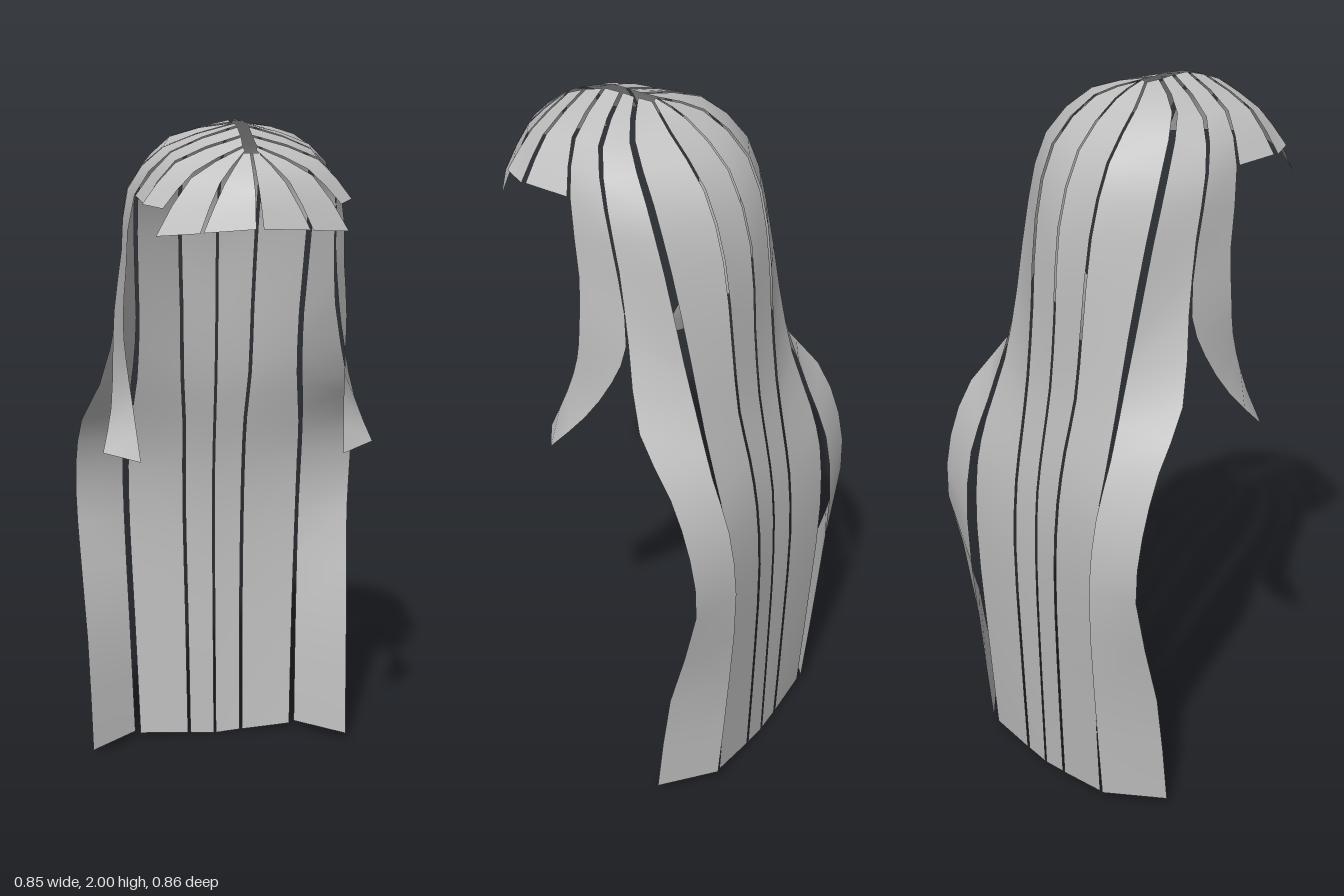
import * as THREE from 'three';

// A lock is a thin ruled strip between two edges running from the parting to the tip.
function stripGeometry(edgeA, edgeB, side) {
  const rows = 2 * (edgeA.length - 1);
  const curves = [edgeA, edgeB].map((edge) => new THREE.CatmullRomCurve3(
    edge.map(([x, y, z]) => new THREE.Vector3(x * side, y, z))));
  const positions = [];
  const index = [];
  for (let i = 0; i <= rows; i++) {
    for (const curve of curves) positions.push(...curve.getPoint(i / rows).toArray());
    if (i === rows) continue;
    const a = 2 * i, b = a + 1, c = a + 2, d = a + 3;
    if (side > 0) index.push(a, b, c, b, d, c);
    else index.push(a, c, b, b, c, d);
  }
  const geometry = new THREE.BufferGeometry();
  geometry.setAttribute('position', new THREE.Float32BufferAttribute(positions, 3));
  geometry.setIndex(index);
  geometry.computeVertexNormals();
  return geometry;
}

const shift = (edge, dx, dz = 0) => edge.map(([x, y, z]) => [x + dx, y, z + dz]);

export function createModel() {
  const hair = new THREE.Group();
  hair.name = 'longHair';
  const material = new THREE.MeshStandardMaterial({ color: 0xc0c0c0, side: THREE.DoubleSide });
  material.name = 'hairGrey';

  // Each lock is mirrored to both sides of the parting.
  function addLock(name, edgeA, edgeB) {
    for (const side of [1, -1]) {
      const mesh = new THREE.Mesh(stripGeometry(edgeA, edgeB, side), material);
      mesh.name = (side > 0 ? 'left' : 'right') + name;
      hair.add(mesh);
    }
  }

  // Long back locks: edges are [x, y, z], from the crown down
  const backCentre = [
    [0.003, 2.0, 0.0], [0.003, 1.965, -0.09], [0.003, 1.85, -0.22], [0.003, 1.65, -0.292],
    [0.003, 1.4, -0.312], [0.003, 1.2, -0.332], [0.003, 1.05, -0.36], [0.003, 0.9, -0.385],
    [0.003, 0.7, -0.395], [0.003, 0.4, -0.39], [0.003, 0.0, -0.378]];
  const backSeam = [
    [0.012, 1.995, 0.005], [0.082, 1.957, -0.093], [0.113, 1.84, -0.215], [0.113, 1.65, -0.277],
    [0.106, 1.4, -0.305], [0.103, 1.2, -0.328], [0.094, 1.05, -0.36], [0.092, 0.9, -0.387],
    [0.09, 0.7, -0.4], [0.086, 0.4, -0.393], [0.083, 0.007, -0.377]];
  const middleOuter = [
    [0.015, 1.995, 0.048], [0.163, 1.952, -0.037], [0.238, 1.83, -0.14], [0.246, 1.65, -0.2],
    [0.238, 1.4, -0.255], [0.242, 1.2, -0.302], [0.26, 1.03, -0.36], [0.263, 0.9, -0.395],
    [0.26, 0.7, -0.408], [0.25, 0.4, -0.395], [0.24, 0.02, -0.37]];
  addLock('BackCentreLock', backCentre, shift(backSeam, -0.004));
  addLock('BackMiddleLock', shift(backSeam, 0.004), middleOuter);

  // Outer back lock, flaring away from the shoulders
  addLock('BackOuterLock', [
    [0.015, 1.995, 0.06], [0.172, 1.95, -0.027], [0.248, 1.83, -0.125], [0.257, 1.65, -0.185],
    [0.248, 1.4, -0.24], [0.253, 1.25, -0.285], [0.268, 1.08, -0.345], [0.277, 0.93, -0.405],
    [0.274, 0.73, -0.43], [0.265, 0.4, -0.41], [0.256, 0.025, -0.375],
  ], [
    [0.015, 1.998, 0.095], [0.2, 1.93, 0.038], [0.291, 1.81, -0.035], [0.302, 1.65, -0.075],
    [0.315, 1.45, -0.11], [0.365, 1.22, -0.175], [0.41, 1.08, -0.3], [0.425, 0.92, -0.37],
    [0.422, 0.73, -0.39], [0.407, 0.38, -0.3], [0.4, 0.025, -0.255]]);

  // Short lock framing the face, curling forward at the tip
  addLock('SideLock', [
    [0.015, 1.998, 0.105], [0.2, 1.932, 0.05], [0.29, 1.81, -0.025], [0.305, 1.63, -0.075],
    [0.325, 1.45, -0.11], [0.335, 1.33, -0.07], [0.35, 1.2, 0.01], [0.383, 1.095, 0.1],
  ], [
    [0.015, 1.998, 0.15], [0.19, 1.93, 0.128], [0.283, 1.81, 0.085], [0.305, 1.6, 0.048],
    [0.315, 1.45, 0.045], [0.31, 1.35, 0.058], [0.298, 1.23, 0.1], [0.285, 1.083, 0.168]]);

  // Fringe locks, from the temple to the forehead
  addLock('TempleFringe',
    [[0.015, 1.995, 0.16], [0.19, 1.93, 0.138], [0.282, 1.81, 0.095]],
    [[0.015, 1.98, 0.212], [0.19, 1.918, 0.219], [0.275, 1.81, 0.23]]);
  addLock('SideFringe',
    [[0.015, 1.977, 0.222], [0.19, 1.915, 0.229], [0.28, 1.81, 0.24]],
    [[0.018, 1.96, 0.265], [0.15, 1.9, 0.293], [0.235, 1.81, 0.316]]);
  addLock('FrontFringe',
    [[0.018, 1.957, 0.272], [0.16, 1.885, 0.305], [0.255, 1.74, 0.325]],
    [[0.015, 1.95, 0.284], [0.09, 1.878, 0.348], [0.148, 1.755, 0.388]]);
  addLock('CentreFringe',
    [[0.02, 1.945, 0.292], [0.08, 1.875, 0.355], [0.14, 1.757, 0.392]],
    [[0.003, 1.945, 0.295], [0.005, 1.86, 0.39], [0.01, 1.77, 0.432]]);

  return hair;
}
